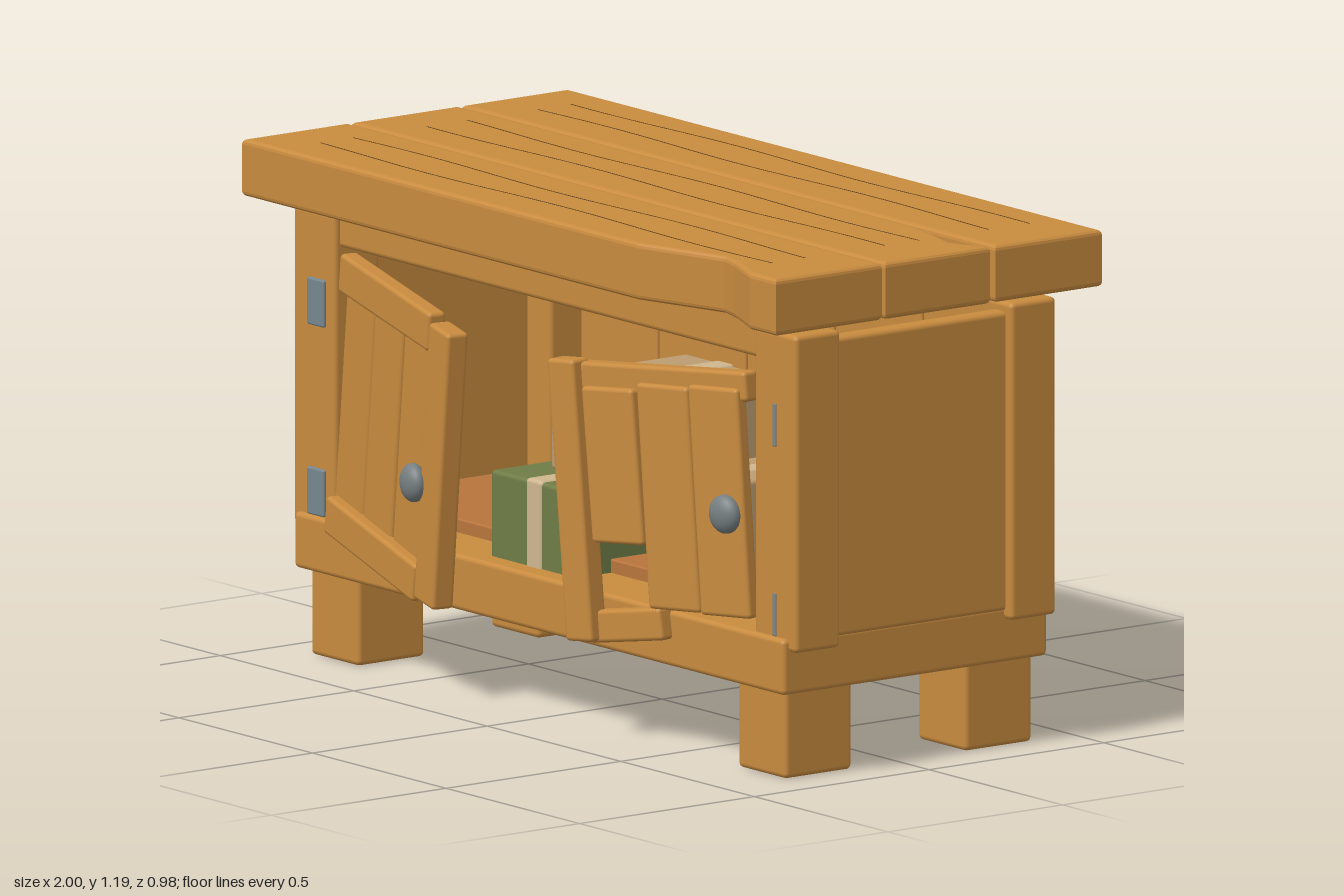
import * as THREE from 'three';
import { RoundedBoxGeometry } from 'three/addons/geometries/RoundedBoxGeometry.js';

const material = (name, color, extra = {}) => {
  const m = new THREE.MeshStandardMaterial({ color, ...extra });
  m.name = name;
  return m;
};

export function createModel() {
  const wood = material('wood', 0xc88b3f);
  const floorWood = material('floor wood', 0xb8743c);
  const grain = material('dark grain', 0x5a3d1a, { side: THREE.DoubleSide });
  const iron = material('hinge iron', 0x76868f);
  const knobMetal = material('knob metal', 0x757e80);
  const green = material('green parcel', 0x6f7d47);
  const tan = material('tan parcel', 0xbb9d72);
  const tape = material('parcel tape', 0xcfb78f);

  const root = new THREE.Group();
  root.name = 'cabinet';

  const add = (parent, name, geometry, mat) => {
    const mesh = new THREE.Mesh(geometry, mat);
    mesh.name = name;
    parent.add(mesh);
    return mesh;
  };
  // Rounded box between two corners
  const span = (name, x0, x1, y0, y1, z0, z1, mat = wood, r = 0.012, parent = root) => {
    const size = [x1 - x0, y1 - y0, z1 - z0];
    const mesh = add(parent, name, new RoundedBoxGeometry(...size, 2, Math.min(r, Math.min(...size) * 0.4)), mat);
    mesh.position.set((x0 + x1) / 2, (y0 + y1) / 2, (z0 + z1) / 2);
    return mesh;
  };
  // Rounded box from centre and size
  const board = (parent, name, x, y, z, w, h, d, roll = 0) => {
    const mesh = span(name, x - w / 2, x + w / 2, y - h / 2, y + h / 2, z - d / 2, z + d / 2, wood, 0.01, parent);
    mesh.rotation.z = roll;
    return mesh;
  };

  // Base, floor, legs, corner posts and side panels
  span('base', -0.92, 0.915, 0.2, 0.33, -0.405, 0.352);
  span('floor', -0.86, 0.86, 0.32, 0.362, -0.375, 0.2, floorWood, 0.005);
  for (const s of [-1, 1]) {
    const mirrored = (name, a, b, ...rest) => span(name, Math.min(s * a, s * b), Math.max(s * a, s * b), ...rest);
    mirrored('frontLeg', 0.71, 0.89, 0, 0.21, 0.135, 0.327);
    mirrored('backLeg', 0.71, 0.89, 0, 0.21, -0.38, -0.188);
    mirrored('frontPost', 0.785, 0.942, 0.3, 1.037, 0.207, 0.337);
    mirrored('backPost', 0.785, 0.942, 0.3, 1.037, -0.41, -0.28);
    mirrored('sidePanel', 0.87, 0.92, 0.32, 1.015, -0.29, 0.215);
  }
  span('frontRail', -0.885, 0.885, 0.96, 1.06, 0.215, 0.322);

  // Back planks and battens
  for (let i = -2; i <= 2; i++) {
    const x = i * 0.33 - 0.005;
    span('backPlank', x - 0.162, x + 0.162, 0.32, 1.018, -0.412, -0.37, wood, 0.006);
  }
  span('upperBatten', -0.835, 0.835, 0.95, 1.045, -0.445, -0.38);
  span('lowerBatten', -0.835, 0.835, 0.305, 0.397, -0.445, -0.38);

  // Top planks, two with chipped edges; outlines are [x, z]
  const bevel = 0.012;
  const outlines = [
    [[-1, -0.19], [1, -0.19], [1, -0.495], [-1, -0.495]],
    [[-1, 0.125], [1, 0.125], [1, -0.175], [0.9, -0.138], [0.84, -0.155], [0.73, -0.18], [-1, -0.18]],
    [[-1, 0.438], [0.48, 0.438], [0.72, 0.372], [0.78, 0.388], [0.9, 0.438], [1, 0.438], [1, 0.135], [-1, 0.135]],
  ];
  for (const outline of outlines) {
    const shape = new THREE.Shape(outline.map(([x, z]) => new THREE.Vector2(x, -z)));
    const geometry = new THREE.ExtrudeGeometry(shape, {
      depth: 0.133 - 2 * bevel, bevelThickness: bevel, bevelSize: bevel, bevelOffset: -bevel, bevelSegments: 3,
    });
    geometry.rotateX(-Math.PI / 2);
    add(root, 'topPlank', geometry, wood).position.y = 1.059 + bevel;
  }

  // Wavy grain lines lying on the top
  [-0.395, -0.293, -0.085, 0.018, 0.233, 0.335].forEach((z, k) => {
    const geometry = new THREE.PlaneGeometry(1.7, 0.005, 60, 1);
    geometry.rotateX(-Math.PI / 2);
    const p = geometry.attributes.position;
    for (let i = 0; i < p.count; i++) p.setZ(i, p.getZ(i) + 0.008 * Math.sin(p.getX(i) * 6.3 + k * 2.1));
    geometry.computeVertexNormals();
    add(root, 'grainLine', geometry, grain).position.set(0, 1.1935, z);
  });

  // Hinge plates: full on the right-hand post, only an edge showing on the other
  for (const y of [0.77, 0.33]) {
    span('hinge', -0.882, -0.818, y, y + 0.11, 0.325, 0.344, iron, 0.005);
    span('sunkenHinge', 0.858, 0.87, y, y + 0.1, 0.325, 0.34, iron, 0.002);
  }

  const knob = (parent, x, y, z) => {
    const mesh = add(parent, 'knob', new THREE.SphereGeometry(0.045, 24, 16), knobMetal);
    mesh.scale.z = 0.6;
    mesh.position.set(x, y, z);
  };
  const door = (name, x, y, z, yaw, roll) => {
    const group = new THREE.Group();
    group.name = name;
    group.position.set(x, y, z);
    group.rotation.set(0, yaw, roll);
    root.add(group);
    return group;
  };

  // Sagging door beside the full hinges
  const a = door('hingedDoor', -0.49, 0.585, 0.373, -0.19, -0.125);
  for (const x of [-0.205, -0.06, 0.093]) board(a, 'doorPlank', x, -0.005, 0, 0.145, 0.63, 0.035);
  board(a, 'doorBackStrip', 0.185, 0, 0, 0.05, 0.6, 0.03);
  board(a, 'doorTopRail', -0.04, 0.303, 0.022, 0.46, 0.092, 0.045);
  board(a, 'doorBottomRail', -0.04, -0.287, 0.022, 0.46, 0.09, 0.045, -0.05);
  board(a, 'doorStile', 0.243, 0, 0.018, 0.1, 0.66, 0.055, 0.005);
  knob(a, 0.172, -0.06, 0.05);

  // Broken door
  const b = door('brokenDoor', 0.5, 0.58, 0.358, 0.13, 0.09);
  board(b, 'brokenPlank', -0.14, 0.085, 0.027, 0.165, 0.36, 0.035, 0.01);
  board(b, 'doorPlank', 0.03, 0.02, 0.022, 0.165, 0.52, 0.035, -0.01);
  board(b, 'doorPlank', 0.195, 0.02, 0.022, 0.16, 0.53, 0.035, -0.01);
  board(b, 'doorTopRail', 0.02, 0.285, 0.005, 0.55, 0.07, 0.045, 0.01);
  board(b, 'brokenBottomRail', -0.15, -0.285, 0.005, 0.24, 0.075, 0.045, 0.08);
  board(b, 'doorStile', -0.275, 0, 0.027, 0.085, 0.65, 0.055, 0.005);
  knob(b, 0.222, -0.005, 0.045);

  // Parcels with a band of tape around each
  const parcel = (name, x0, x1, y0, y1, z0, z1, t0, t1, mat) => {
    span(name, x0, x1, y0, y1, z0, z1, mat, 0.01);
    span(name + 'Tape', t0, t1, y0, y1 + 0.004, z0 - 0.004, z1 + 0.004, tape, 0.01);
  };
  parcel('greenParcel', -0.25, 0.07, 0.32, 0.53, -0.02, 0.3, -0.115, -0.055, green);
  parcel('tanParcel', -0.17, 0.13, 0.53, 0.75, -0.2, 0.19, -0.055, 0.01, tan);
  parcel('smallParcel', 0.27, 0.48, 0.35, 0.6, -0.08, 0.19, 0.34, 0.4, tan);

  return root;
}
